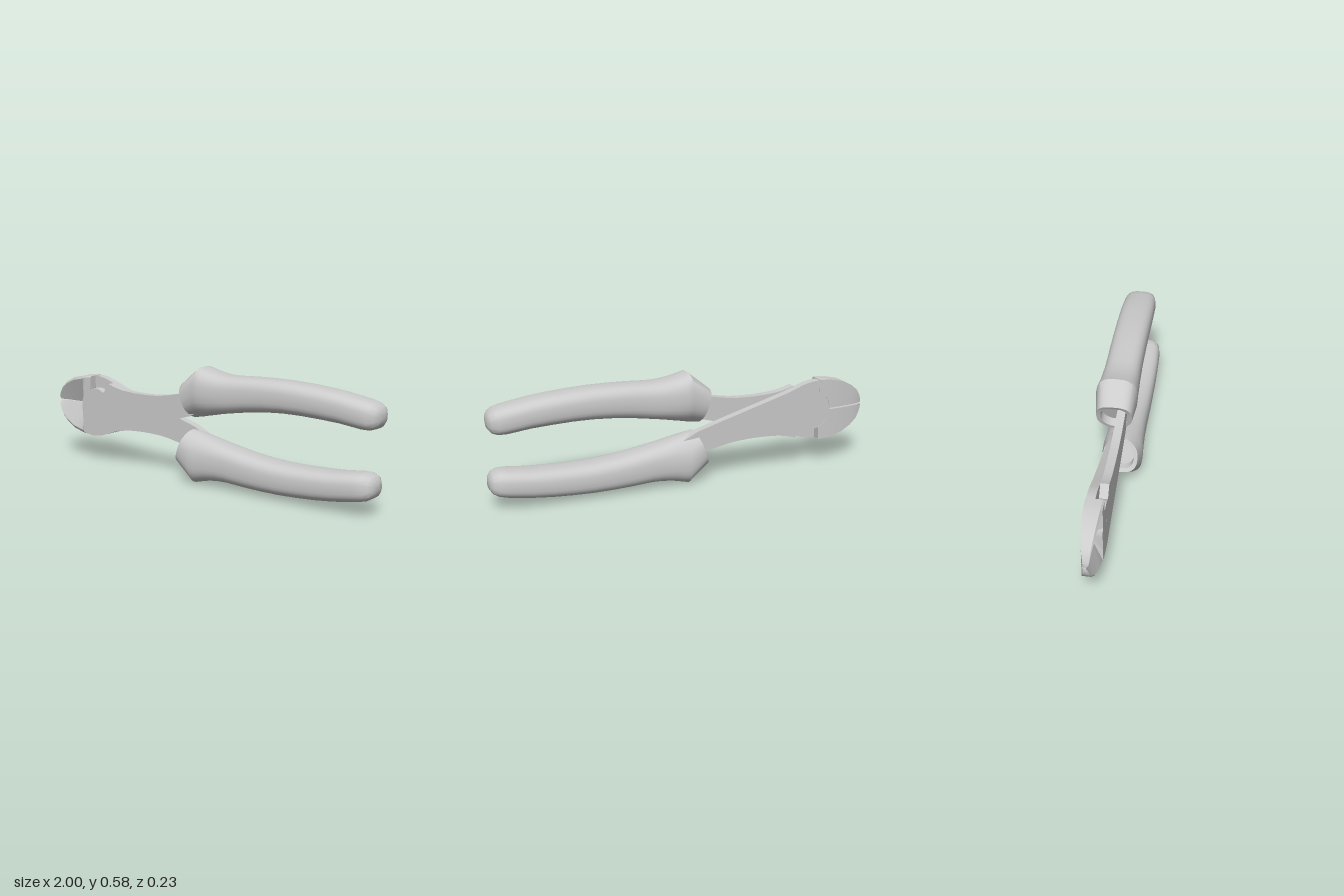
import * as THREE from 'three';
import { toCreasedNormals } from 'three/addons/utils/BufferGeometryUtils.js';

const steel = new THREE.MeshStandardMaterial({ color: 0xcccccc, metalness: 0.1, roughness: 0.6 });

function mesh(name, geometry, crease = 0.6) {
  const m = new THREE.Mesh(toCreasedNormals(geometry, crease), steel);
  m.name = name;
  return m;
}

// Skin over rings of [x, y, z] points, capped at both ends. Rings run along +x.
function loft(rings) {
  const n = rings[0].length, pos = [], idx = [];
  rings.forEach(r => r.forEach(p => pos.push(...p)));
  for (let i = 0; i < rings.length - 1; i++) {
    for (let j = 0; j < n; j++) {
      const a = i * n + j, b = i * n + (j + 1) % n;
      idx.push(a, b, a + n, b, b + n, a + n);
    }
  }
  [0, rings.length - 1].forEach((r, end) => {
    const c = pos.length / 3;
    pos.push(...[0, 1, 2].map(k => rings[r].reduce((s, p) => s + p[k], 0) / n));
    for (let j = 0; j < n; j++) {
      const a = r * n + j, b = r * n + (j + 1) % n;
      if (end) idx.push(c, a, b); else idx.push(c, b, a);
    }
  });
  const g = new THREE.BufferGeometry();
  g.setAttribute('position', new THREE.Float32BufferAttribute(pos, 3));
  g.setIndex(idx);
  return g;
}

// Flat lever: pivot disc, jaw root and neck running into the handle
function leverPlate() {
  const s = new THREE.Shape();
  s.moveTo(-0.79, 0.148);
  s.lineTo(-0.8, 0.3);
  s.absarc(-0.7, 0.3, 0.1, Math.PI, 0.95, true);
  s.lineTo(-0.6, 0.435);
  s.splineThru([[-0.55, 0.42], [-0.48, 0.409], [-0.36, 0.405], [-0.24, 0.412], [-0.1, 0.44], [0.05, 0.48]]
    .map(p => new THREE.Vector2(...p)));
  s.lineTo(0.05, 0.38);
  s.lineTo(-0.05, 0.33);
  s.lineTo(-0.17, 0.295);
  s.lineTo(-0.55, 0.187);
  s.splineThru([[-0.6, 0.168], [-0.66, 0.148], [-0.72, 0.14], [-0.79, 0.148]]
    .map(p => new THREE.Vector2(...p)));
  // Rivet hole
  const hole = new THREE.Path();
  hole.absarc(-0.7, 0.303, 0.009, 0, Math.PI * 2, true);
  s.holes.push(hole);
  return new THREE.ExtrudeGeometry(s, { depth: 0.041, bevelEnabled: false, curveSegments: 10 });
}

// Cutting jaw; side is 1 for the upper and -1 for the lower one
function jaw(side) {
  // x, outer height above the cutting line, front z, cutting edge z, back z
  const sections = [
    [-1, 0.022, 0.012, 0.002, -0.014],
    [-0.99, 0.048, 0.016, 0, -0.018],
    [-0.97, 0.078, 0.021, -0.004, -0.025],
    [-0.93, 0.111, 0.028, -0.008, -0.032],
    [-0.87, 0.141, 0.035, -0.012, -0.039],
    [-0.8, 0.157, 0.04, -0.014, -0.043],
    [-0.79, 0.158, 0.041, 0.041, -0.043],
    [-0.77, 0.16, 0.041, 0.041, -0.043],
    [-0.735, 0.161, 0.041, 0.041, -0.043],
  ];
  return loft(sections.map(([x, h, zf, zc, zb]) => {
    // Past the cutting edge the jaw wraps round the pivot disc
    const arc = Math.sqrt(Math.max(0, 0.01 - (x + 0.7) ** 2));
    const out = 0.301 + side * h, cut = 0.301 + side * Math.max(0.004, arc);
    const rim = out + (cut - out) * 0.1;
    const ring = [[x, out, zb], [x, out, zf * 0.8], [x, rim, zf], [x, cut, zc], [x, cut, zb]];
    return side > 0 ? ring : ring.reverse();
  }));
}

// Moulded grip: slanted rounded sections with a hollow mouth round the neck
function grip() {
  // top x, top y, bottom x, bottom y, half width, narrowing of the underside
  const sections = [
    [-0.06, 0.475, -0.01, 0.35, 0.065, 0.35],
    [-0.1, 0.473, -0.057, 0.338, 0.068, 0.4],
    [-0.11, 0.49, -0.05, 0.32, 0.088, 0.4],
    [0, 0.58, 0, 0.327, 0.102, 0.35],
    [0.03, 0.572, 0.03, 0.335, 0.102, 0.25],
    [0.08, 0.56, 0.08, 0.346, 0.098, 0.15],
    [0.14, 0.552, 0.14, 0.36, 0.095, 0.05],
    [0.2, 0.551, 0.2, 0.371, 0.092, 0],
    [0.3, 0.557, 0.3, 0.388, 0.09, 0],
    [0.4, 0.56, 0.4, 0.4, 0.09, 0],
    [0.5, 0.56, 0.5, 0.407, 0.09, 0],
    [0.6, 0.556, 0.6, 0.408, 0.09, 0],
    [0.7, 0.549, 0.7, 0.405, 0.09, 0],
    [0.8, 0.538, 0.8, 0.4, 0.089, 0],
    [0.92, 0.519, 0.91, 0.387, 0.086, 0],
    [0.96, 0.509, 0.95, 0.386, 0.078, 0],
    [0.985, 0.494, 0.978, 0.396, 0.064, 0],
    [0.997, 0.475, 0.994, 0.415, 0.042, 0],
    [1, 0.458, 1, 0.435, 0.015, 0],
  ];
  const N = 32, pw = v => Math.sign(v) * Math.abs(v) ** 0.68;
  return loft(sections.map(([xt, yt, xb, yb, w, k]) => Array.from({ length: N }, (_, j) => {
    const a = j / N * Math.PI * 2;
    const c = pw(Math.cos(a)), t = (c + 1) / 2;
    const z = w * pw(Math.sin(a)) * (1 - k * Math.max(0, -c) ** 2);
    return [xb + (xt - xb) * t, yb + (yt - yb) * t, z - 0.015];
  })));
}

export function createModel() {
  const model = new THREE.Group();
  model.name = 'sideCutters';

  // The rear lever and lower grip are the front ones turned half round the long axis
  [['frontLever', 'upperGrip'], ['rearLever', 'lowerGrip']].forEach(([lever, handle], i) => {
    const plate = mesh(lever, leverPlate());
    const cover = mesh(handle, grip(), 0.7);
    if (i) {
      plate.rotation.x = cover.rotation.x = Math.PI;
      plate.position.y = 0.6;
      cover.position.y = 0.58;
    }
    model.add(plate, cover);
  });

  model.add(mesh('upperJaw', jaw(1), 0.5), mesh('lowerJaw', jaw(-1), 0.5));
  return model;
}
